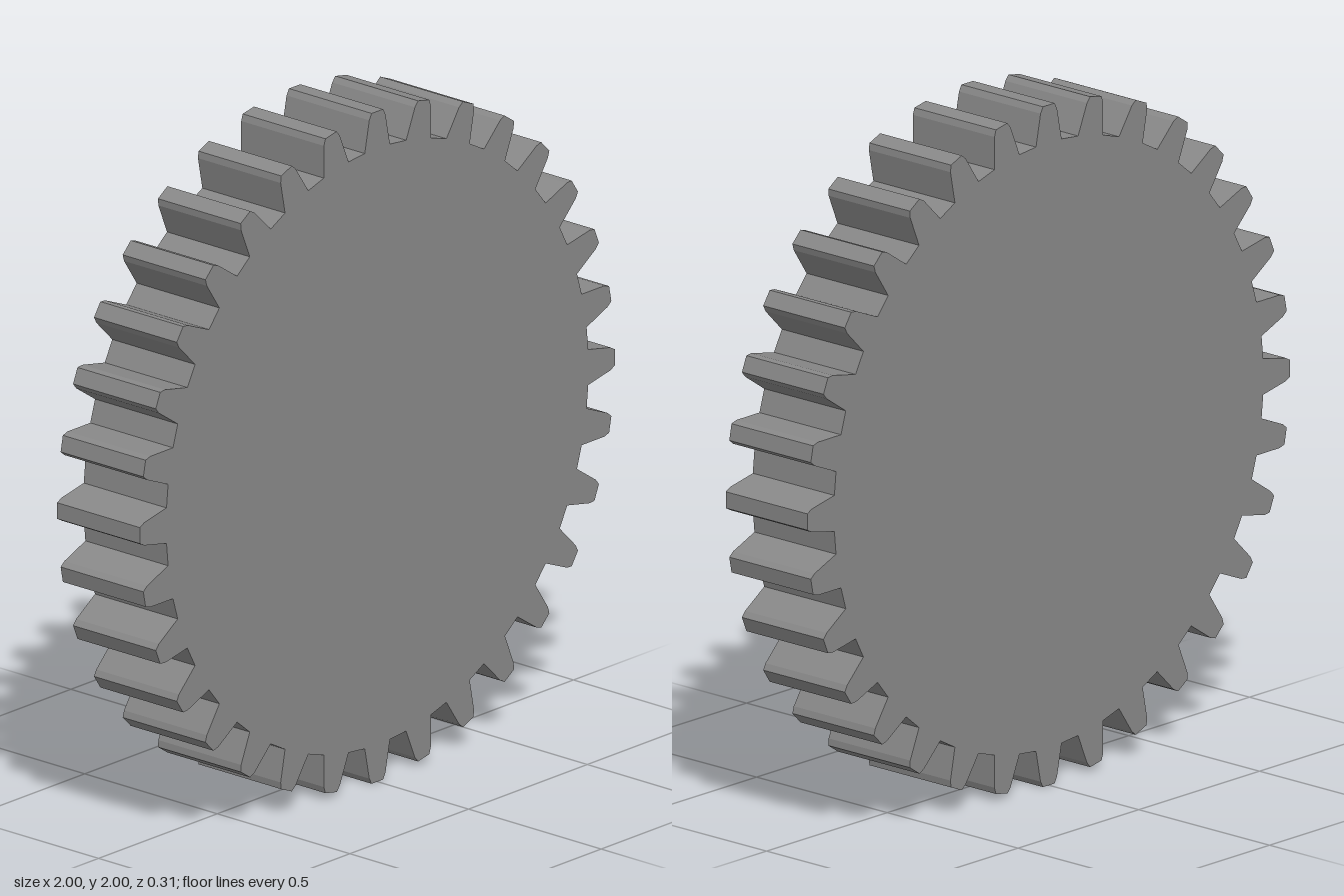
import * as THREE from 'three';

const TEETH = 32;
const DEPTH = 0.312;

// Half tooth profile: [sideways offset, distance from the hub], root to tip
const FLANK = [[0.053, 0.888], [0.034, 0.982], [0.024, 1.0]];

function gearShape() {
  const tooth = [
    ...FLANK,
    ...FLANK.slice().reverse().map(([s, r]) => [-s, r]),
  ];
  const points = [];
  for (let i = 0; i < TEETH; i++) {
    const a = (i / TEETH) * Math.PI * 2;
    const c = Math.cos(a), s = Math.sin(a);
    // Start on the clockwise flank and run counter-clockwise
    for (const [side, r] of tooth) {
      points.push(new THREE.Vector2(r * c + side * s, r * s - side * c));
    }
  }
  return new THREE.Shape(points);
}

export function createModel() {
  const group = new THREE.Group();
  group.name = 'spurGear';

  const steel = new THREE.MeshStandardMaterial({ color: 0x888888 });
  steel.name = 'steel grey';

  // Solid disc with straight teeth around the rim
  const geometry = new THREE.ExtrudeGeometry(gearShape(), { depth: DEPTH, bevelEnabled: false });
  geometry.translate(0, 1, -DEPTH / 2);
  const gear = new THREE.Mesh(geometry, steel);
  gear.name = 'toothedWheel';
  group.add(gear);

  return group;
}
